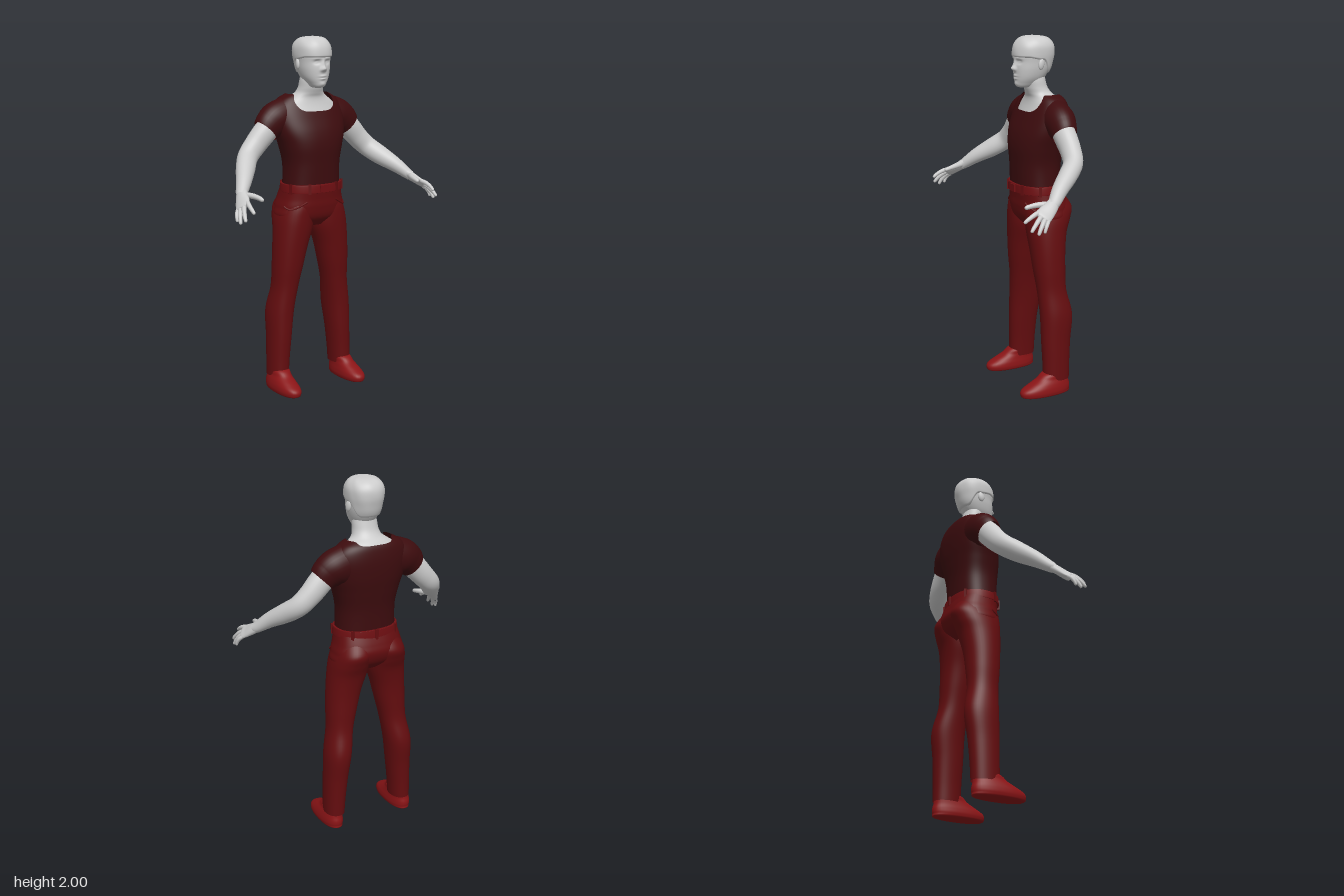
import * as THREE from 'three';

const mat = (name, color, side = THREE.FrontSide) => {
  const m = new THREE.MeshStandardMaterial({ color, side });
  m.name = name;
  return m;
};

// Smoothly interpolates a table of cross-section rows, t = 0..1
function at(rows, t) {
  const n = rows.length - 1, i = Math.min(Math.floor(t * n), n - 1), s = t * n - i;
  const a = rows[Math.max(i - 1, 0)], b = rows[i], c = rows[i + 1], d = rows[Math.min(i + 2, n)];
  return b.map((q, k) => {
    const m0 = (c[k] - a[k]) / 2, m1 = (d[k] - q) / 2;
    return q + m0 * s + (3 * (c[k] - q) - 2 * m0 - m1) * s * s + (2 * (q - c[k]) + m0 + m1) * s * s * s;
  });
}

// Surface closed around angle a (0 = front, towards +x), running along v = 0..1
function grid(fn, nu, nv) {
  const pos = [], idx = [];
  for (let j = 0; j <= nv; j++) {
    for (let i = 0; i < nu; i++) {
      let a = (i / nu) * Math.PI * 2;
      if (a > Math.PI) a -= Math.PI * 2;
      pos.push(...fn(a, j / nv));
      if (j < nv) {
        const p = j * nu + i, q = j * nu + ((i + 1) % nu);
        idx.push(p, q, q + nu, p, q + nu, p + nu);
      }
    }
  }
  const g = new THREE.BufferGeometry();
  g.setAttribute('position', new THREE.Float32BufferAttribute(pos, 3));
  g.setIndex(idx);
  g.computeVertexNormals();
  return g;
}

const pw = (c, e) => Math.sign(c) * Math.pow(Math.abs(c), 2 / e);

// Point on a horizontal section row [y, centreX, halfWidth, zFront, zBack]
function ring(rows, a, t, e = 2) {
  const [y, cx, rx, zf, zb] = at(rows, t);
  return [cx + rx * pw(Math.sin(a), e), y, (zf + zb) / 2 + ((zf - zb) / 2) * pw(Math.cos(a), e)];
}
const loft = (rows, e, nu = 40, nv = 40) => grid((a, v) => ring(rows, a, v, e), nu, nv);

// Tube through rows [x, y, z, radiusAlongRef, otherRadius]
function limb(rows, ref, nu = 20, nv = 24) {
  return grid((a, v) => {
    const [x, y, z, ra, rb] = at(rows, v);
    const p = at(rows, Math.max(v - 0.01, 0)), q = at(rows, Math.min(v + 0.01, 1));
    const T = new THREE.Vector3(q[0] - p[0], q[1] - p[1], q[2] - p[2]).normalize();
    const N = new THREE.Vector3(...ref);
    N.addScaledVector(T, -N.dot(T)).normalize();
    const B = new THREE.Vector3().crossVectors(T, N);
    return new THREE.Vector3(x, y, z).addScaledVector(N, ra * Math.cos(a)).addScaledVector(B, rb * Math.sin(a)).toArray();
  }, nu, nv);
}

function mirrored(g) {
  const m = g.clone().scale(-1, 1, 1), ix = m.index.array;
  for (let i = 0; i < ix.length; i += 3) [ix[i], ix[i + 1]] = [ix[i + 1], ix[i]];
  return m;
}

export function createModel() {
  const model = new THREE.Group();
  model.name = 'standingMan';
  const skin = mat('pale grey skin', 0xcccccc), shirt = mat('dark maroon shirt', 0x3d0c0e, THREE.DoubleSide);
  const pants = mat('deep red trousers', 0x640d0f, THREE.DoubleSide);
  const belt = mat('red belt', 0x700f12), shoe = mat('red shoes', 0x8a1416);
  const add = (name, geo, m) => {
    const mesh = new THREE.Mesh(geo, m);
    mesh.name = name;
    model.add(mesh);
    return mesh;
  };
  const pair = (name, geo, m) => {
    add('left' + name, geo, m);
    add('right' + name, mirrored(geo), m);
  };

  // Head with sculpted face
  const skull = [
    [1.718, 0, 0.001, -0.03, -0.04], [1.725, 0, 0.034, 0.008, -0.1], [1.75, 0, 0.055, 0.018, -0.13],
    [1.78, 0, 0.072, 0.022, -0.155], [1.82, 0, 0.084, 0.024, -0.178], [1.86, 0, 0.09, 0.022, -0.19],
    [1.9, 0, 0.095, 0.023, -0.198], [1.94, 0, 0.093, 0.014, -0.195], [1.97, 0, 0.077, -0.006, -0.175],
    [1.986, 0, 0.05, -0.035, -0.14], [1.992, 0, 0.001, -0.08, -0.082]];
  const bump = (x, y, cx, cy, wx, wy) => Math.exp(-(((x - cx) / wx) ** 2) - ((y - cy) / wy) ** 2);
  add('head', grid((a, v) => {
    const p = ring(skull, a, v, 2.2), [x, y] = p, ax = Math.abs(x);
    if (Math.cos(a) > 0) {
      p[2] += 0.02 * bump(x, y, 0, 1.825, 0.013, 0.014) + 0.011 * bump(x, y, 0, 1.85, 0.009, 0.022)
        + 0.006 * bump(ax, y, 0.014, 1.82, 0.007, 0.008) - 0.011 * bump(ax, y, 0.033, 1.862, 0.016, 0.011)
        + 0.006 * bump(ax, y, 0.033, 1.861, 0.01, 0.005) + 0.004 * bump(ax, y, 0.033, 1.88, 0.025, 0.007)
        + 0.007 * bump(x, y, 0, 1.785, 0.02, 0.006) + 0.007 * bump(x, y, 0, 1.771, 0.017, 0.006)
        - 0.004 * bump(x, y, 0, 1.778, 0.022, 0.003) + 0.006 * bump(x, y, 0, 1.742, 0.02, 0.012);
    }
    return p;
  }, 96, 80), skin);

  // Short hair cap with a fringe, lower at the nape
  add('hair', grid((a, v) => {
    const c = Math.cos(a), edge = c > 0 ? 0.53 + 0.03 * Math.min(1, c * 2) : 0.53 - 0.19 * THREE.MathUtils.smoothstep(-c, 0.1, 0.8);
    const p = ring(skull, a, edge + (1 - edge) * v, 2.2);
    const k = v === 0 ? 0.97 : 1.06 + 0.012 * Math.sin(a * 7 + v * 9) * v * (1 - v) * 2;
    return [p[0] * k, 1.87 + (p[1] - 1.87) * (v === 0 ? 1 : k), -0.08 + (p[2] + 0.08) * (c > 0.3 ? k + 0.03 * Math.sin(v * Math.PI) : k)];
  }, 64, 32), skin);
  const ear = new THREE.SphereGeometry(1, 16, 12).scale(0.011, 0.031, 0.019);
  ear.rotateX(-0.2).rotateY(0.3).translate(0.092, 1.85, -0.09);
  pair('Ear', ear, skin);

  // Neck and upper chest under the neckline
  add('neck', loft([
    [1.5, 0, 0.19, 0, -0.23], [1.58, 0, 0.19, -0.035, -0.236], [1.63, 0, 0.165, -0.053, -0.23],
    [1.665, 0, 0.118, -0.058, -0.21], [1.69, 0, 0.084, -0.05, -0.185], [1.72, 0, 0.072, -0.04, -0.165],
    [1.76, 0, 0.068, -0.035, -0.153], [1.8, 0, 0.06, -0.04, -0.145]], 2.1), skin);

  // Shirt body with a scooped neckline, and sleeves
  const torso = [
    [1.17, 0, 0.168, 0.02, -0.22], [1.3, 0, 0.165, 0.026, -0.226], [1.4, 0, 0.186, 0.03, -0.24],
    [1.48, 0, 0.21, 0.017, -0.251], [1.56, 0, 0.222, -0.014, -0.254], [1.62, 0, 0.21, -0.04, -0.248],
    [1.66, 0, 0.175, -0.058, -0.236], [1.685, 0, 0.128, -0.072, -0.212]];
  add('shirtBody', grid((a, v) => {
    const dip = (b) => Math.exp(-((b / 0.75) ** 4));
    return ring(torso, a, v * (1 - 0.36 * dip(a) - 0.13 * dip(Math.PI - Math.abs(a))), 2.4);
  }, 64, 48), shirt);
  pair('Sleeve', limb([
    [0.13, 1.56, -0.145, 0.113, 0.085], [0.2, 1.548, -0.143, 0.1, 0.085],
    [0.245, 1.52, -0.138, 0.09, 0.075], [0.275, 1.49, -0.135, 0.076, 0.066]], [0.5, 0.8, 0], 32), shirt);

  // Arms, palms and fingers
  pair('Arm', limb([
    [0.22, 1.54, -0.135, 0.065, 0.06], [0.285, 1.478, -0.135, 0.067, 0.059], [0.345, 1.415, -0.133, 0.062, 0.055],
    [0.4, 1.36, -0.115, 0.058, 0.052], [0.45, 1.31, -0.055, 0.055, 0.05], [0.505, 1.258, 0.02, 0.043, 0.042],
    [0.55, 1.21, 0.075, 0.031, 0.033], [0.565, 1.195, 0.095, 0.028, 0.028]], [0.7, 0.7, 0], 28, 40), skin);
  const across = [0.62, -0.62, -0.48];
  pair('Palm', limb([
    [0.535, 1.225, 0.055, 0.028, 0.028], [0.567, 1.19, 0.105, 0.036, 0.023], [0.587, 1.167, 0.145, 0.043, 0.017],
    [0.602, 1.152, 0.173, 0.04, 0.013], [0.606, 1.147, 0.18, 0.001, 0.001]], across), skin);
  const tips = [[0.59, 1.13, 0.27], [0.63, 1.09, 0.25], [0.64, 1.073, 0.215], [0.64, 1.08, 0.18]];
  const finger = (name, base, tip, r, bend) => {
    const mix = (t, k) => [0, 1, 2].map((i) => base[i] + (tip[i] - base[i]) * t + bend[i] * Math.sin(t * Math.PI)).concat(r * k, r * k);
    pair(name, limb([mix(0, 1), mix(0.35, 1), mix(0.7, 0.85), mix(0.95, 0.65), mix(1, 0.02)], across, 12, 16), skin);
  };
  tips.forEach((tip, i) => {
    const k = (i - 1.5) * 0.021;
    finger('Finger' + (i + 1), [0.596 + k * 0.62, 1.156 - k * 0.62, 0.16 - k * 0.48], tip, i === 3 ? 0.0105 : 0.0125, [0.006, 0.006, 0.003]);
  });
  finger('Thumb', [0.553, 1.2, 0.1], [0.513, 1.185, 0.227], 0.0155, [-0.01, 0.005, 0]);

  // Trousers: hips and legs
  const hips = [
    [0.95, 0, 0.09, -0.04, -0.18], [1.0, 0, 0.205, 0.0, -0.238], [1.06, 0, 0.204, 0.014, -0.262],
    [1.11, 0, 0.19, 0.016, -0.252], [1.17, 0, 0.177, 0.02, -0.228]];
  add('hips', loft(hips, 2.5, 48), pants);
  pair('Leg', loft([
    [0.085, 0.215, 0.056, -0.05, -0.205], [0.18, 0.211, 0.059, -0.05, -0.208], [0.31, 0.203, 0.065, -0.046, -0.216],
    [0.46, 0.192, 0.073, -0.044, -0.231], [0.6, 0.17, 0.073, -0.036, -0.203], [0.72, 0.154, 0.085, -0.021, -0.202],
    [0.83, 0.138, 0.096, -0.01, -0.208], [0.93, 0.118, 0.108, 0.0, -0.225], [1.0, 0.109, 0.108, 0.004, -0.252],
    [1.06, 0.1, 0.1, 0.003, -0.268], [1.12, 0.085, 0.09, -0.01, -0.235]], 2.2, 40, 60), pants);

  // Curved front pocket seams
  const seam = [];
  for (let i = 0; i <= 8; i++) {
    const p = ring(hips, 0.42 + i * 0.11, 0.68 - 0.2 * Math.sin((i / 8) * 2.4), 2.5);
    seam.push(new THREE.Vector3(p[0], p[1], p[2] + 0.002));
  }
  pair('PocketSeam', new THREE.TubeGeometry(new THREE.CatmullRomCurve3(seam), 24, 0.005, 6), pants);

  // Belt, buckle and loops
  const band = [
    [1.145, 0, 0.165, 0.015, -0.215], [1.145, 0, 0.18, 0.032, -0.234], [1.15, 0, 0.183, 0.035, -0.237],
    [1.187, 0, 0.18, 0.034, -0.235], [1.191, 0, 0.176, 0.03, -0.232], [1.191, 0, 0.16, 0.012, -0.212]];
  add('belt', loft(band, 2.3, 56, 20), belt);
  add('buckle', new THREE.BoxGeometry(0.055, 0.04, 0.012), belt).position.set(0, 1.168, 0.036);
  for (const a of [0.45, -0.45, 1.2, -1.2, 2.4, -2.4, Math.PI]) {
    const [x, , z] = ring(band, a, 0.5, 2.3);
    const loop = add('beltLoop', new THREE.BoxGeometry(0.016, 0.056, 0.012), pants);
    loop.position.set(x, 1.168, z);
    loop.rotation.y = a;
  }

  // Shoes
  pair('Shoe', loft([
    [0.002, 0.222, 0.001, -0.05, -0.052], [0.002, 0.222, 0.05, 0.075, -0.19], [0.02, 0.222, 0.062, 0.098, -0.204],
    [0.045, 0.222, 0.062, 0.09, -0.206], [0.07, 0.221, 0.057, 0.045, -0.2], [0.095, 0.218, 0.051, -0.005, -0.196],
    [0.125, 0.215, 0.046, -0.045, -0.19], [0.14, 0.215, 0.001, -0.11, -0.12]], 2.3, 36, 36), shoe);

  return model;
}
